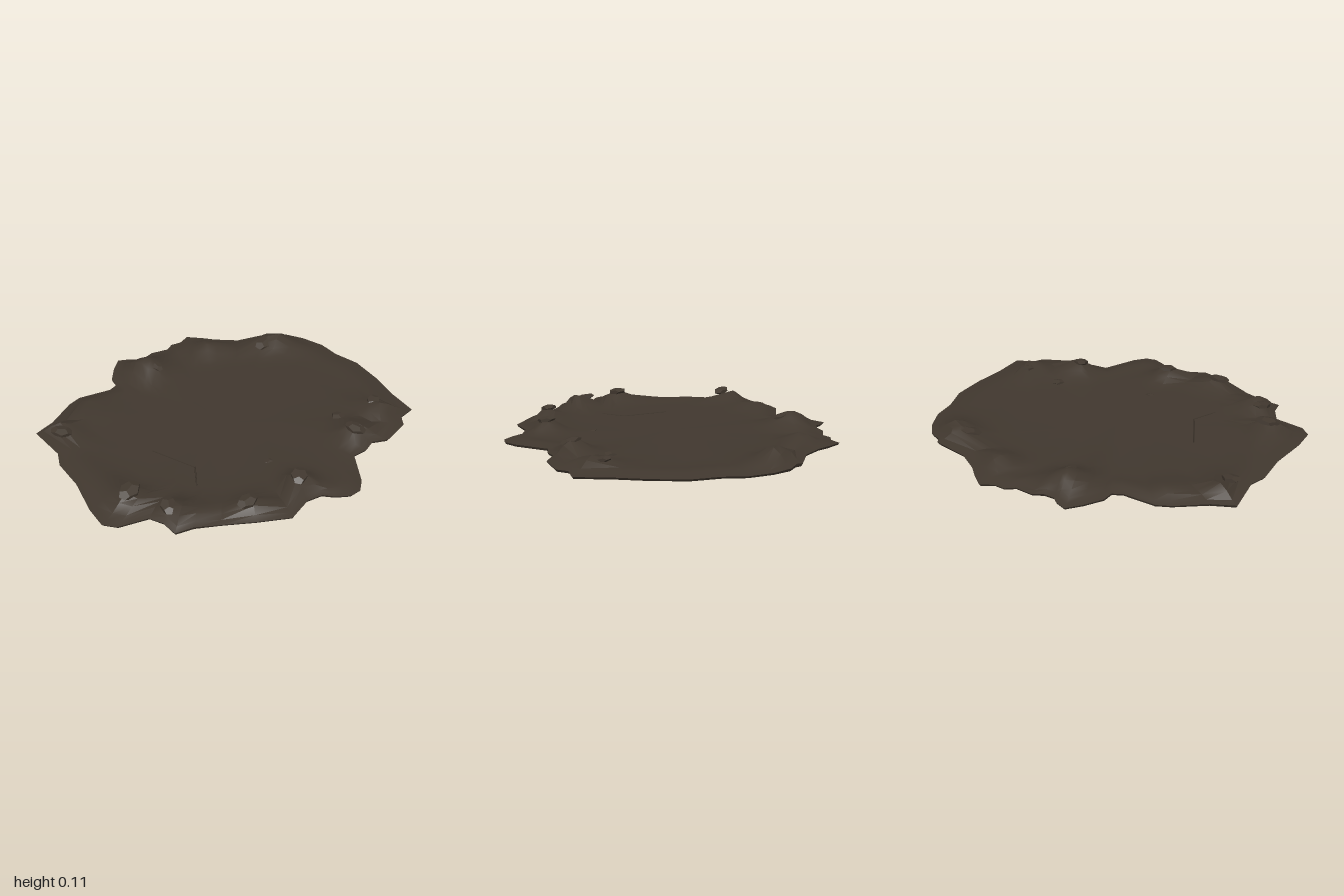
import * as THREE from 'three';
import { toCreasedNormals } from 'three/addons/utils/BufferGeometryUtils.js';

// ragged outline of the patch, x and z pairs, clockwise from the back
const OUTLINE = [
  -0.14, -0.9, -0.08, -0.87, -0.05, -0.84, 0.01, -0.83, 0.07, -0.85, 0.17, -0.83, 0.22, -0.86,
  0.28, -0.85, 0.35, -0.88, 0.42, -0.81, 0.47, -0.75, 0.58, -0.66, 0.78, -0.6, 0.79, -0.57,
  0.86, -0.53, 0.92, -0.44, 0.965, -0.31, 0.965, -0.18, 1, -0.03, 0.98, 0.16, 0.94, 0.34,
  0.92, 0.52, 0.82, 0.54, 0.78, 0.6, 0.62, 0.65, 0.53, 0.62, 0.46, 0.65, 0.37, 0.65,
  0.26, 0.83, 0.2, 0.885, 0.14, 0.89, 0.07, 0.85, 0.02, 0.8, -0.07, 0.79, -0.21, 0.845,
  -0.38, 0.77, -0.53, 0.68, -0.65, 0.62, -0.75, 0.6, -0.755, 0.51, -0.79, 0.43, -0.95, 0.39,
  -1, 0.33, -0.99, 0.2, -0.94, -0.02, -0.93, -0.21, -0.89, -0.3, -0.895, -0.53, -0.77, -0.57,
  -0.61, -0.665, -0.53, -0.69, -0.345, -0.66, -0.29, -0.68, -0.28, -0.745, -0.21, -0.835,
];

// mounds along the rim: x, z, height, radius
const MOUNDS = [
  [-0.8, 0.25, 0.08, 0.1], [-0.66, 0.5, 0.078, 0.11], [-0.36, 0.67, 0.07, 0.1],
  [-0.03, 0.67, 0.075, 0.09], [0.5, 0.51, 0.08, 0.11], [0.75, 0.42, 0.06, 0.11],
  [0.73, -0.48, 0.082, 0.12], [0.36, -0.66, 0.06, 0.1], [-0.06, -0.69, 0.085, 0.12],
  [-0.55, -0.55, 0.045, 0.12], [-0.8, -0.42, 0.075, 0.11],
];

// small stones half sunk in the rim: x, z, radius, turn
const STONES = [
  [-0.79, 0.26, 0.07, 0.4], [-0.69, 0.46, 0.06, 1.1], [-0.36, 0.67, 0.06, 0.1],
  [-0.03, 0.67, 0.06, 0.8], [-0.03, 0.42, 0.035, 0.3], [0.48, 0.53, 0.06, 2.1],
  [0.53, 0.35, 0.06, 1.4], [0.76, 0.37, 0.05, 0.6], [0.65, -0.48, 0.07, 0.2],
  [-0.04, -0.63, 0.045, 1.7], [-0.81, -0.39, 0.06, 2.6],
];

const FLOOR = 0.022;

function moundHeight(x, z) {
  let h = 0;
  for (const [mx, mz, height, r] of MOUNDS) {
    h = Math.max(h, height * Math.exp(-((x - mx) ** 2 + (z - mz) ** 2) / (r * r)));
  }
  return h;
}

// closed shell of scaled outlines: centre of the top, over the rim, back under to the centre
function groundGeometry() {
  const top = [0, 0.3, 0.55, 0.64, 0.7, 0.76, 0.82, 0.87, 0.92, 0.96, 1];
  const under = [0.99, 0.93, 0.86, 0.78, 0.7, 0.4, 0];
  const n = OUTLINE.length / 2;
  const pos = [], index = [];
  const addRing = (f, isTop) => {
    for (let i = 0; i < n; i++) {
      const x = OUTLINE[2 * i] * f, z = OUTLINE[2 * i + 1] * f;
      const m = moundHeight(x, z);
      const edge = THREE.MathUtils.smoothstep(f, 0.89, 1);
      let y;
      if (isTop) {
        const lip = 0.012 * THREE.MathUtils.smoothstep(f, 0.75, 0.9) * (1 - edge);
        y = FLOOR + Math.max(m * (1 - 0.75 * edge), lip) - 0.004 * edge;
      } else {
        const lift = THREE.MathUtils.smoothstep(f, 0.72, 0.95);
        y = lift * (0.006 + 0.2 * m * (0.5 + 0.5 * Math.sin(i * 1.3)));
      }
      pos.push(x, y, z);
    }
  };
  top.forEach((f) => addRing(f, true));
  under.forEach((f) => addRing(f, false));
  const rings = top.length + under.length;
  for (let r = 0; r < rings - 1; r++) {
    for (let i = 0; i < n; i++) {
      const j = (i + 1) % n;
      const a = r * n + i, a2 = r * n + j, b = a + n, b2 = a2 + n;
      if (r < rings - 2) index.push(a, b2, b);
      if (r > 0) index.push(a, a2, b2);
    }
  }
  const geometry = new THREE.BufferGeometry();
  geometry.setAttribute('position', new THREE.Float32BufferAttribute(pos, 3));
  geometry.setIndex(index);
  return toCreasedNormals(geometry, 0.5);
}

export function createModel() {
  const model = new THREE.Group();
  model.name = 'groundPatch';
  const soil = new THREE.MeshStandardMaterial({ color: 0x40372e });
  soil.name = 'dark soil';

  const ground = new THREE.Mesh(groundGeometry(), soil);
  ground.name = 'ground';
  model.add(ground);

  // flattened, tilted stones just breaking the surface
  const stones = new THREE.Group();
  stones.name = 'stones';
  const stoneGeometry = toCreasedNormals(new THREE.DodecahedronGeometry(1, 0), 0.3);
  STONES.forEach(([x, z, r, turn], i) => {
    const stone = new THREE.Mesh(stoneGeometry, soil);
    stone.name = `stone${i + 1}`;
    stone.scale.set(r, r * 0.3, r * 0.75);
    stone.rotation.set(0.12, turn, 0.1);
    stone.position.set(x, FLOOR + moundHeight(x, z) - r * 0.17, z);
    stones.add(stone);
  });
  model.add(stones);

  // thin crease across the floor
  const path = [[-0.47, -0.02], [-0.37, 0.23], [-0.45, 0.36]];
  for (let i = 0; i < 2; i++) {
    const [x1, z1] = path[i], [x2, z2] = path[i + 1];
    const length = Math.hypot(x2 - x1, z2 - z1);
    const crease = new THREE.Mesh(new THREE.CylinderGeometry(0.004, 0.004, length, 4), soil);
    crease.name = `crease${i + 1}`;
    crease.position.set((x1 + x2) / 2, FLOOR, (z1 + z2) / 2);
    crease.rotation.set(Math.PI / 2, 0, -Math.atan2(x2 - x1, z2 - z1));
    model.add(crease);
  }
  return model;
}
